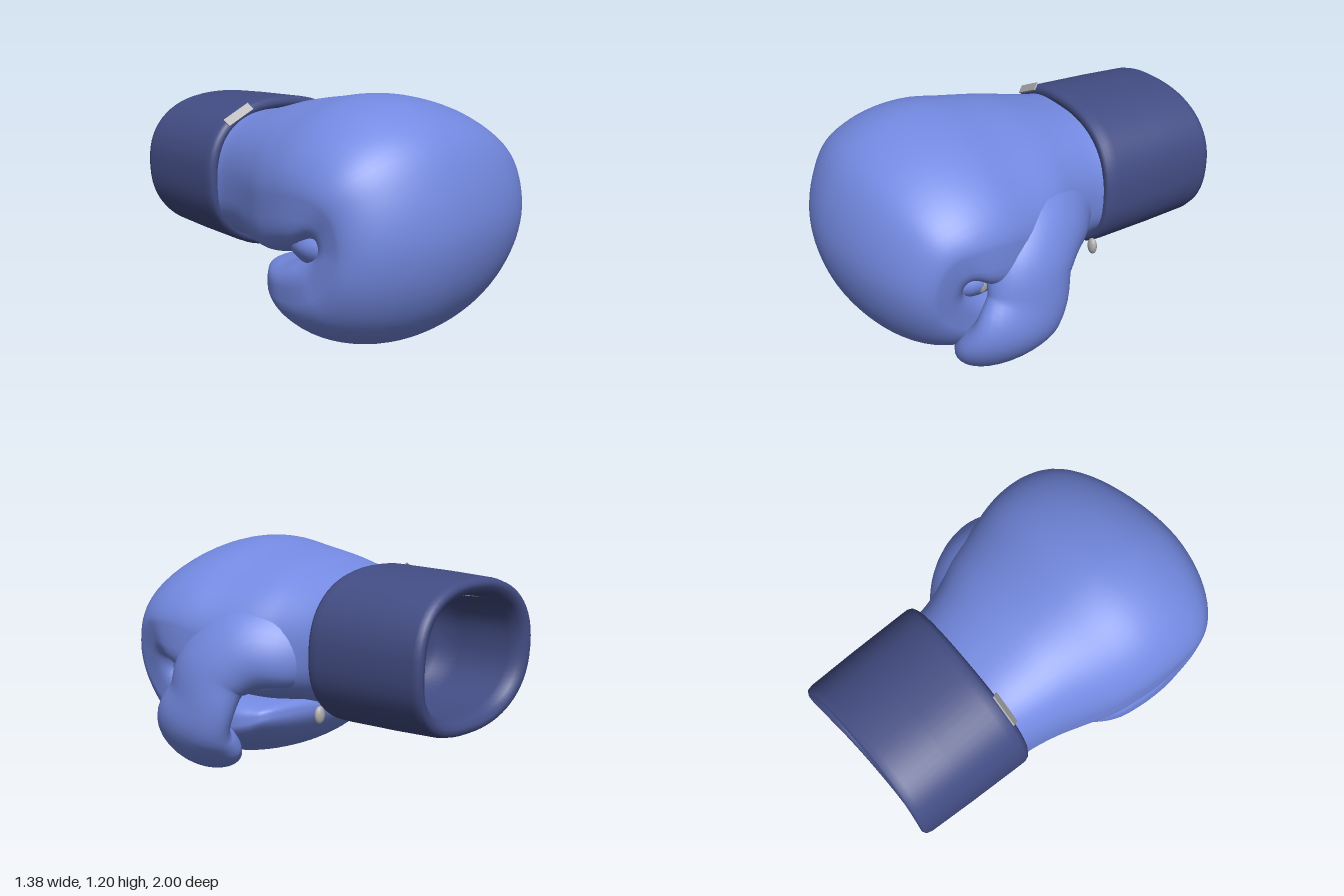
import * as THREE from 'three';

const blue = new THREE.MeshStandardMaterial({ color: 0x748ae2 });
const navy = new THREE.MeshStandardMaterial({ color: 0x434d84 });
const grey = new THREE.MeshStandardMaterial({ color: 0xaeacae, side: THREE.DoubleSide });
blue.name = 'leather blue';
navy.name = 'cuff navy';
grey.name = 'lining grey';

const V = (x, y, z) => new THREE.Vector3(x, y, z);
const spow = (c, n) => Math.sign(c) * Math.pow(Math.abs(c), 2 / n);

function add(group, name, geometry, material) {
  const mesh = new THREE.Mesh(geometry, material);
  mesh.name = name;
  group.add(mesh);
  return mesh;
}

// Skin a series of closed rings; every ring runs counter-clockwise about the direction of travel.
function loft(rings) {
  const n = rings[0].length;
  const index = [];
  for (let i = 0; i < rings.length - 1; i++) {
    for (let j = 0; j < n; j++) {
      const a = i * n + j, b = i * n + (j + 1) % n;
      index.push(a, b, a + n, b, b + n, a + n);
    }
  }
  const g = new THREE.BufferGeometry().setFromPoints(rings.flat());
  g.setIndex(index);
  g.computeVertexNormals();
  return g;
}

// Smooth interpolation of rows of numbers.
function smoothRows(rows, steps) {
  const out = [];
  const at = (i) => rows[Math.min(Math.max(i, 0), rows.length - 1)];
  for (let i = 0; i < rows.length - 1; i++) {
    for (let s = 0; s < steps; s++) {
      const t = s / steps, t2 = t * t, t3 = t2 * t;
      out.push(rows[i].map((p1, k) => {
        const p0 = at(i - 1)[k], p2 = at(i + 1)[k], p3 = at(i + 2)[k];
        return 0.5 * (2 * p1 + (p2 - p0) * t + (2 * p0 - 5 * p1 + 4 * p2 - p3) * t2
          + (3 * p1 - p0 - 3 * p2 + p3) * t3);
      }));
    }
  }
  out.push(rows[rows.length - 1]);
  return out;
}

function ring(n, fn) {
  return Array.from({ length: n }, (_, j) => {
    const a = (j / n) * Math.PI * 2;
    return fn(Math.cos(a), Math.sin(a));
  });
}

// Hand: outer z, outer y, inner z, inner y, side x (-), side x (+), squareness; curls over into the fist.
function handGeometry() {
  const rows = [
    [-0.42, 1.04, -0.42, 0.38, -0.53, 0.36, 2.5],
    [-0.30, 1.055, -0.30, 0.38, -0.53, 0.36, 2.5],
    [-0.15, 1.09, -0.14, 0.40, -0.56, 0.41, 2.35],
    [0.00, 1.13, 0.00, 0.40, -0.60, 0.49, 2.15],
    [0.20, 1.165, 0.16, 0.42, -0.655, 0.55, 2.0],
    [0.42, 1.195, 0.32, 0.46, -0.685, 0.60, 1.95],
    [0.65, 1.16, 0.42, 0.50, -0.69, 0.61, 1.9],
    [0.85, 1.04, 0.48, 0.55, -0.68, 0.59, 1.9],
    [0.96, 0.84, 0.51, 0.56, -0.655, 0.57, 1.9],
    [1.00, 0.60, 0.52, 0.54, -0.645, 0.55, 1.9],
    [0.95, 0.36, 0.51, 0.52, -0.65, 0.53, 1.9],
    [0.83, 0.16, 0.47, 0.50, -0.655, 0.51, 1.95],
    [0.66, 0.04, 0.42, 0.48, -0.66, 0.49, 2.0],
    [0.45, 0.00, 0.33, 0.45, -0.65, 0.47, 2.0],
    [0.25, 0.05, 0.22, 0.41, -0.62, 0.44, 2.0],
    [0.09, 0.14, 0.10, 0.39, -0.54, 0.39, 2.0],
    [0.00, 0.25, 0.01, 0.37, -0.42, 0.28, 2.0],
    [-0.02, 0.32, -0.02, 0.32, -0.14, -0.14, 2.0],
  ];
  const cx = -0.14, bias = 0.43;
  return loft(smoothRows(rows, 5).map(([oz, oy, iz, iy, x0, x1, q]) => ring(64, (c, s) => {
    const n = s < 0 ? 2.6 + (2.5 - q) * 3.5 : c < 0 ? q : q - 0.12;
    const v = bias + spow(s, n) * (s < 0 ? bias : 1 - bias);
    const x = cx + spow(c, n) * (c < 0 ? cx - x0 : x1 - cx);
    return V(x, iy + v * (oy - iy), iz + v * (oz - iz));
  })));
}

// Thumb, from the wrist forward and down: centre x, y, z, half thickness, half breadth.
function thumbGeometry() {
  const rows = smoothRows([
    [0.15, 0.74, -0.30, 0.12, 0.20],
    [0.255, 0.73, -0.10, 0.16, 0.25],
    [0.39, 0.70, 0.08, 0.18, 0.25],
    [0.505, 0.58, 0.205, 0.155, 0.23],
    [0.56, 0.42, 0.245, 0.12, 0.22],
    [0.555, 0.28, 0.31, 0.13, 0.24],
    [0.465, 0.165, 0.36, 0.125, 0.245],
    [0.365, 0.10, 0.38, 0.10, 0.18],
    [0.29, 0.09, 0.39, 0.07, 0.12],
    [0.24, 0.085, 0.39, 0.001, 0.001],
  ], 5);
  const last = rows.length - 1;
  const centre = rows.map((r) => V(r[0], r[1], r[2]));
  return loft(rows.map((r, i) => {
    const t = centre[Math.min(i + 1, last)].clone().sub(centre[Math.max(i - 1, 0)]).normalize();
    const v = V(0, Math.max(0, 1 - 2.2 * i / last), 1);
    v.addScaledVector(t, -v.dot(t)).normalize();
    const u = v.clone().cross(t);
    return ring(32, (c, s) => centre[i].clone()
      .addScaledVector(u, c * r[3]).addScaledVector(v, s * r[4]));
  }));
}

// Point on the cuff's rounded-square section
const cuffPoint = (c, s, w, h, z) => V(spow(c, 2.4) * w - 0.085, spow(s, 2.4) * h + 0.708, z);

// Cuff: z, half width, half height; from the inner floor, round the rear lip, to the front lip.
function cuffGeometry() {
  const rows = [
    [-0.43, 0.001, 0.001], [-0.43, 0.3, 0.23], [-0.46, 0.36, 0.28], [-0.6, 0.37, 0.29],
    [-0.9, 0.37, 0.29], [-0.96, 0.385, 0.305], [-0.985, 0.41, 0.33], [-0.99, 0.435, 0.352],
    [-0.98, 0.452, 0.367], [-0.95, 0.46, 0.375], [-0.7, 0.47, 0.386], [-0.4, 0.478, 0.394],
    [-0.36, 0.478, 0.394], [-0.34, 0.47, 0.386], [-0.33, 0.455, 0.368], [-0.335, 0.43, 0.34],
    [-0.38, 0.41, 0.32],
  ];
  return loft(rows.map(([z, w, h]) => ring(64, (c, s) => {
    const p = cuffPoint(c, s, w, h, z);
    const y = p.y - 0.708;
    const rear = THREE.MathUtils.clamp((-z - 0.5) / 0.45, 0, 1);
    p.z += rear * (0.24 * y * y - 0.04 * y - 0.03 * (p.x + 0.085)) - (1 - rear) * 0.03 * y;
    return p;
  })));
}

// Patch lying just inside the cuff wall, over the thumb side and the ceiling
function liningGeometry() {
  const g = new THREE.PlaneGeometry(1, 1, 28, 4);
  const pos = g.attributes.position;
  for (let i = 0; i < pos.count; i++) {
    const a = THREE.MathUtils.degToRad(55 + 120 * pos.getX(i));
    const p = cuffPoint(Math.cos(a), Math.sin(a), 0.36, 0.28, -0.72 + 0.28 * pos.getY(i));
    pos.setXYZ(i, p.x, p.y, p.z);
  }
  g.computeVertexNormals();
  return g;
}

export function createModel() {
  const glove = new THREE.Group();
  glove.name = 'boxingGlove';

  add(glove, 'handAndFingers', handGeometry(), blue);
  add(glove, 'thumb', thumbGeometry(), blue);
  add(glove, 'cuff', cuffGeometry(), navy);
  add(glove, 'cuffLining', liningGeometry(), grey);

  // Padding that closes the fold between palm and fingers
  const padding = add(glove, 'palmPadding', new THREE.SphereGeometry(1, 40, 24), blue);
  padding.scale.set(0.58, 0.2, 0.32);
  padding.position.set(-0.065, 0.54, 0.47);

  // Lining showing at the wrist seam
  const seam = add(glove, 'seamLiningTop', new THREE.BoxGeometry(0.17, 0.045, 0.008), grey);
  seam.rotation.set(-0.7, 0, 0.45, 'ZYX');
  seam.position.set(-0.38, 1.036, -0.342);

  // Small spots of lining at the wrist and in the thumb fold
  const spots = [
    ['seamLiningSide', 0.29, 0.39, -0.322, 0.03, 0.045, 0.022],
    ['foldLining', 0.49, 0.53, 0.46, 0.025, 0.045, 0.03],
  ];
  for (const [name, x, y, z, sx, sy, sz] of spots) {
    const spot = add(glove, name, new THREE.SphereGeometry(1, 16, 12), grey);
    spot.position.set(x, y, z);
    spot.scale.set(sx, sy, sz);
  }

  return glove;
}
